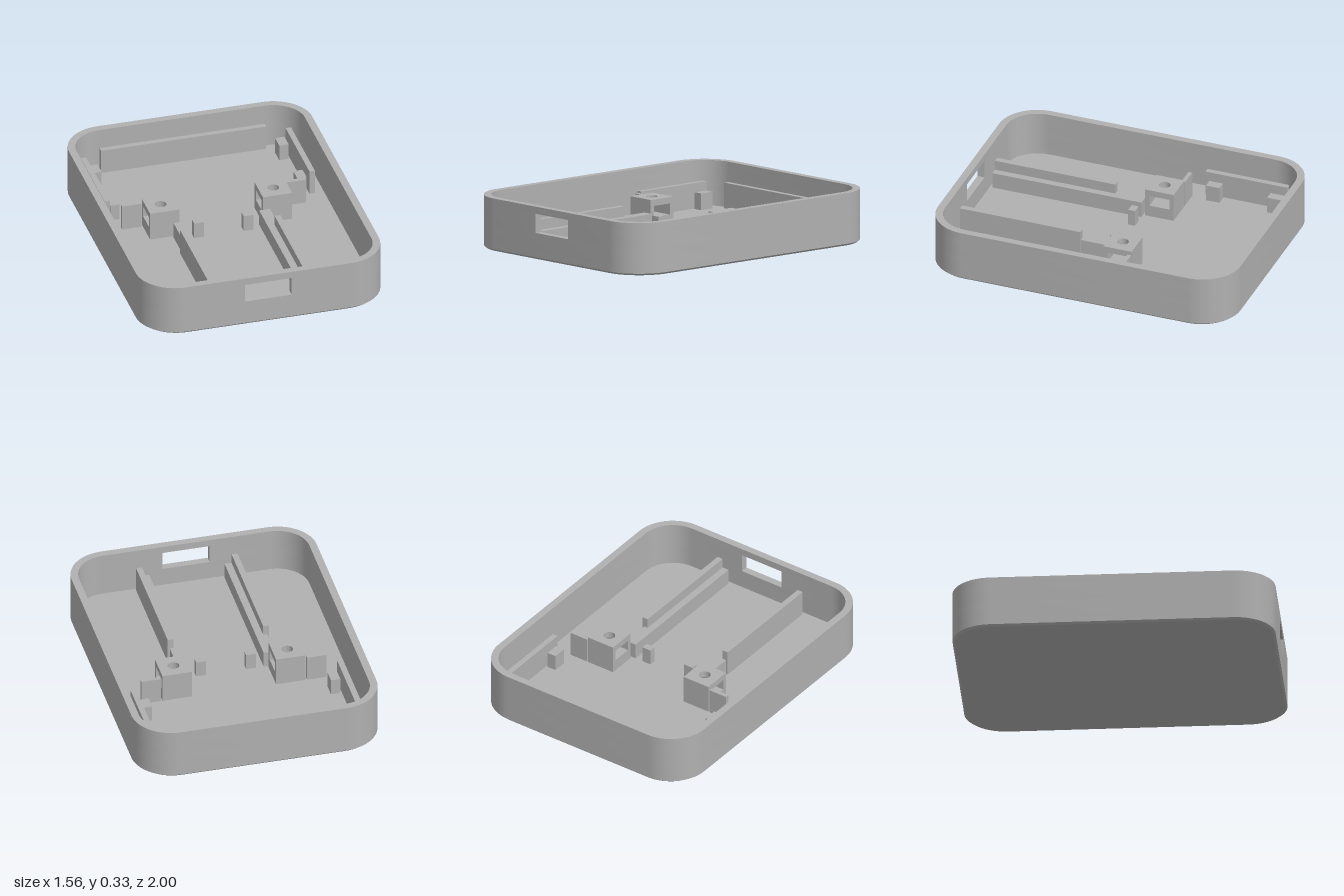
import * as THREE from 'three';
import { toCreasedNormals } from 'three/addons/utils/BufferGeometryUtils.js';

const HX = 0.78, HZ = 1, RADIUS = 0.25, WALL = 0.047;
const FLOOR = 0.045, HEIGHT = 0.33, CHAMFER = 0.012;
const SLOT = { half: 0.15, y0: 0.165, y1: 0.285 };

// Rounded rectangle outline, counter-clockwise, starting at the middle of the front edge
function outline(inset) {
  const hx = HX - inset, hz = HZ - inset, r = RADIUS - inset;
  const corners = [[1, -1, -0.5], [1, 1, 0], [-1, 1, 0.5], [-1, -1, 1]];
  const pts = [];
  for (const [sx, sy, start] of corners) {
    for (let i = 0; i <= 16; i++) {
      const a = (start + i / 32) * Math.PI;
      pts.push(new THREE.Vector2(sx * (hx - r) + r * Math.cos(a), sy * (hz - r) + r * Math.sin(a)));
    }
  }
  return pts;
}

// Extrude a plan shape upwards between two heights
function slab(shape, y0, y1) {
  const geo = new THREE.ExtrudeGeometry(shape, { depth: y1 - y0, bevelEnabled: false, curveSegments: 24 });
  geo.rotateX(-Math.PI / 2);
  geo.translate(0, y0, 0);
  return geo;
}

export function createModel() {
  const model = new THREE.Group();
  model.name = 'enclosureTray';
  const plastic = new THREE.MeshStandardMaterial({ color: 0xb0b0b0 });
  plastic.name = 'greyPlastic';

  function add(name, geo, parent = model) {
    const mesh = new THREE.Mesh(geo, plastic);
    mesh.name = name;
    parent.add(mesh);
    return mesh;
  }
  // Box given by its limits on each axis
  function box(name, x0, x1, y0, y1, z0, z1, parent) {
    const geo = new THREE.BoxGeometry(x1 - x0, y1 - y0, z1 - z0);
    geo.translate((x0 + x1) / 2, (y0 + y1) / 2, (z0 + z1) / 2);
    return add(name, geo, parent);
  }
  const smooth = (geo) => toCreasedNormals(geo, 0.4);

  // Floor with a small chamfer round its underside
  const outer = outline(0), inner = outline(WALL);
  const chamfer = slab(new THREE.Shape(outer), 0, CHAMFER);
  const pos = chamfer.attributes.position;
  for (let i = 0; i < pos.count; i++) {
    if (pos.getY(i) < CHAMFER / 2) {
      pos.setX(i, pos.getX(i) * (1 - CHAMFER / HX));
      pos.setZ(i, pos.getZ(i) * (1 - CHAMFER / HZ));
    }
  }
  add('floorChamfer', smooth(chamfer));
  add('floor', smooth(slab(new THREE.Shape(outer), CHAMFER, FLOOR)));

  // Wall in three bands; the middle one is open at the front for the port slot
  const ring = new THREE.Shape(outer);
  ring.holes.push(new THREE.Path(inner));
  const v = (x, y) => new THREE.Vector2(x, y);
  const zi = HZ - WALL, s = SLOT.half;
  const openRing = new THREE.Shape([
    v(s, -HZ), ...outer, v(-s, -HZ),
    v(-s, -zi), ...inner.slice().reverse(), v(s, -zi),
  ]);
  add('lowerWall', smooth(slab(ring, FLOOR, SLOT.y0)));
  add('slottedWall', smooth(slab(openRing, SLOT.y0, SLOT.y1)));
  add('upperWall', smooth(slab(ring, SLOT.y1, HEIGHT)));

  // Rail along the back
  box('backRail', -0.53, 0.53, FLOOR, 0.205, -0.945, -0.91);

  // Mirrored fittings
  for (const side of [1, -1]) {
    const label = side > 0 ? 'left' : 'right';
    const group = new THREE.Group();
    group.name = label + 'Fittings';
    model.add(group);
    const mbox = (name, x0, x1, y0, y1, z0, z1) =>
      box(name, side > 0 ? x0 : -x1, side > 0 ? x1 : -x0, y0, y1, z0, z1, group);

    mbox('sideRail', 0.64, 0.675, FLOOR, 0.205, -0.86, -0.32);
    mbox('backSupport', 0.57, 0.63, FLOOR, 0.15, -0.85, -0.755);
    mbox('frontSupport', 0.57, 0.63, FLOOR, 0.15, -0.44, -0.35);
    mbox('postFin', 0.465, 0.59, FLOOR, 0.21, -0.252, -0.226);
    mbox('boardStop', 0.128, 0.19, FLOOR, 0.15, -0.05, -0.005);
    mbox('boardLedge', 0.24, 0.31, FLOOR, 0.148, -0.05, 0.935);
    mbox('boardGuide', 0.285, 0.323, FLOOR, 0.212, 0.14, 0.935);

    // Screw post: a sideways nut window under a drilled top
    const x0 = 0.268, x1 = 0.456, z0 = -0.252, z1 = -0.064;
    mbox('postBase', x0, x1, FLOOR, 0.12, z0, z1);
    mbox('postBackCheek', x0, x1, 0.12, 0.19, z0, z0 + 0.028);
    mbox('postFrontCheek', x0, x1, 0.12, 0.19, z1 - 0.028, z1);
    const cx = side * (x0 + x1) / 2, half = (x1 - x0) / 2, cy = -(z0 + z1) / 2;
    const top = new THREE.Shape([
      v(cx - half, cy - half), v(cx + half, cy - half),
      v(cx + half, cy + half), v(cx - half, cy + half),
    ]);
    const hole = new THREE.Path();
    hole.absarc(cx, cy, 0.036, 0, Math.PI * 2, true);
    top.holes.push(hole);
    add('postTop', smooth(slab(top, 0.19, 0.23)), group);
  }
  return model;
}
